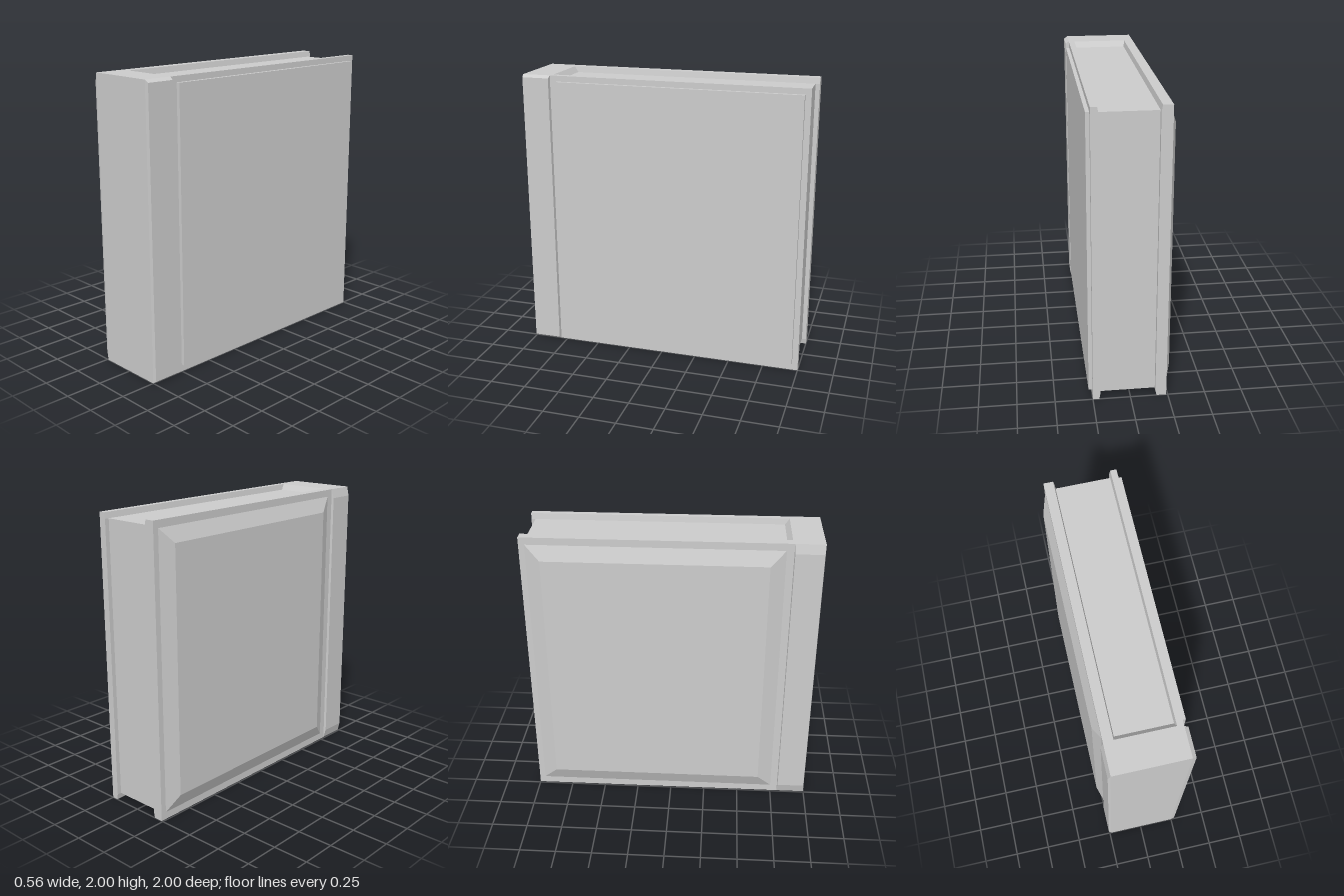
import * as THREE from 'three';

export function createModel() {
  const book = new THREE.Group();
  book.name = 'book';
  const grey = new THREE.MeshStandardMaterial({ color: 0xcccccc });
  grey.name = 'plain grey';

  function add(name, geometry) {
    const mesh = new THREE.Mesh(geometry, grey);
    mesh.name = name;
    book.add(mesh);
    return mesh;
  }

  // Box given by its limits on each axis
  function block(name, [x0, x1], [y0, y1], [z0, z1]) {
    const g = new THREE.BoxGeometry(x1 - x0, y1 - y0, z1 - z0);
    g.translate((x0 + x1) / 2, (y0 + y1) / 2, (z0 + z1) / 2);
    return add(name, g);
  }

  // Raised plate on a side, narrowing towards its outer face
  function plate(name, inner, outer, [y0, y1], [z0, z1], insetY, insetZ) {
    const mesh = block(name, [Math.min(inner, outer), Math.max(inner, outer)], [y0, y1], [z0, z1]);
    const p = mesh.geometry.attributes.position;
    const cy = (y0 + y1) / 2, cz = (z0 + z1) / 2;
    for (let i = 0; i < p.count; i++) {
      if (Math.abs(p.getX(i) - outer) > 1e-4) continue;
      p.setY(i, p.getY(i) - Math.sign(p.getY(i) - cy) * insetY);
      p.setZ(i, p.getZ(i) - Math.sign(p.getZ(i) - cz) * insetZ);
    }
    mesh.geometry = mesh.geometry.toNonIndexed();
    mesh.geometry.computeVertexNormals();
  }

  function prism(points, depth) {
    const shape = new THREE.Shape(points.map(([a, b]) => new THREE.Vector2(a, b)));
    return new THREE.ExtrudeGeometry(shape, { depth, bevelEnabled: false });
  }

  // Cover board whose inner edges slope down to the pages
  function cover(name, outer, edge, inner) {
    const g = prism([[outer, 0], [edge, 0], [inner, 0.04], [inner, 1.96], [edge, 2], [outer, 2]], 1.8);
    g.translate(0, 0, -1);
    add(name, g);
  }
  cover('rightCover', -0.24, -0.175, -0.167);
  cover('leftCover', 0.25, 0.208, 0.2);

  // Recessed page block
  block('pages', [-0.17, 0.203], [0.04, 1.96], [-0.97, 0.77]);

  // Spine, with a sloped strip inside that meets the pages
  block('spine', [-0.24, 0.25], [0, 2], [0.8, 1]);
  const strip = prism([[0.8, 0], [0.8, 2], [0.79, 2], [0.76, 1.96], [0.76, 0.04], [0.79, 0]], 0.383);
  strip.rotateY(-Math.PI / 2);
  strip.translate(0.208, 0, 0);
  add('spineInnerStrip', strip);
  plate('spineRightSide', -0.24, -0.257, [0, 2], [0.8, 1], 0.065, 0.004);
  plate('spineLeftSide', 0.25, 0.275, [0, 2], [0.8, 1], 0.018, 0.004);

  // Cover panels: one bevelled, one flat
  plate('bevelledPanel', -0.24, -0.28, [0.05, 1.95], [-0.96, 0.75], 0.1, 0.1);
  plate('flatPanel', 0.25, 0.275, [0.05, 1.96], [-0.96, 0.75], 0, 0);

  return book;
}
